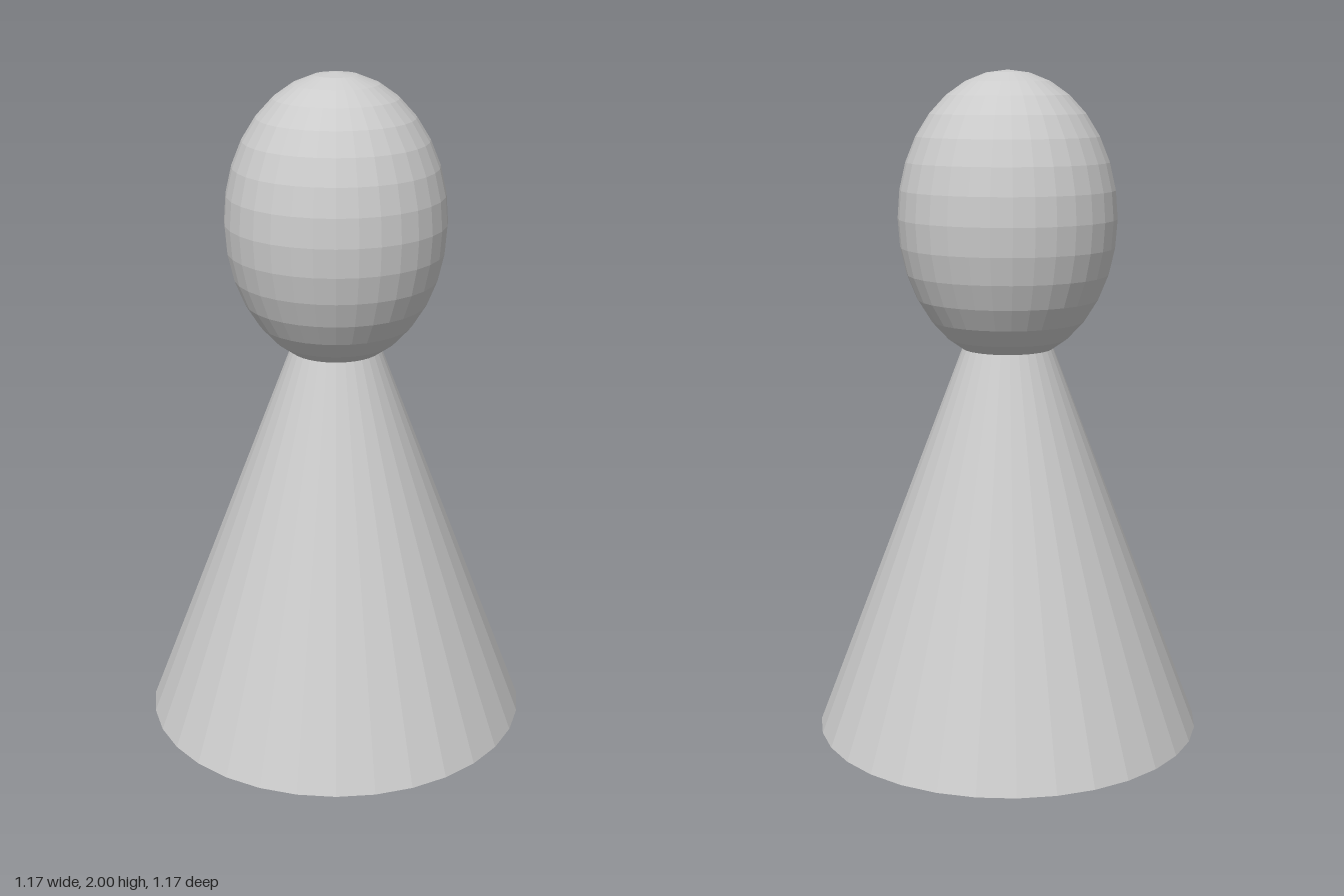
import * as THREE from 'three';

const SIDES = 32;

export function createModel() {
  const model = new THREE.Group();
  model.name = 'pawn';
  const material = new THREE.MeshStandardMaterial({ color: 0xcccccc, flatShading: true });

  // Conical body, its tip hidden inside the head
  const bodyHeight = 1.54;
  const body = new THREE.Mesh(new THREE.ConeGeometry(0.587, bodyHeight, SIDES), material);
  body.name = 'body';
  body.position.y = bodyHeight / 2;
  model.add(body);

  // Egg-like head: a faceted sphere stretched upward
  const headHalfHeight = 0.43;
  const head = new THREE.Mesh(
    new THREE.SphereGeometry(1, SIDES, 16).scale(0.326, headHalfHeight, 0.326),
    material
  );
  head.name = 'head';
  head.position.y = 2 - headHalfHeight;
  model.add(head);

  return model;
}
